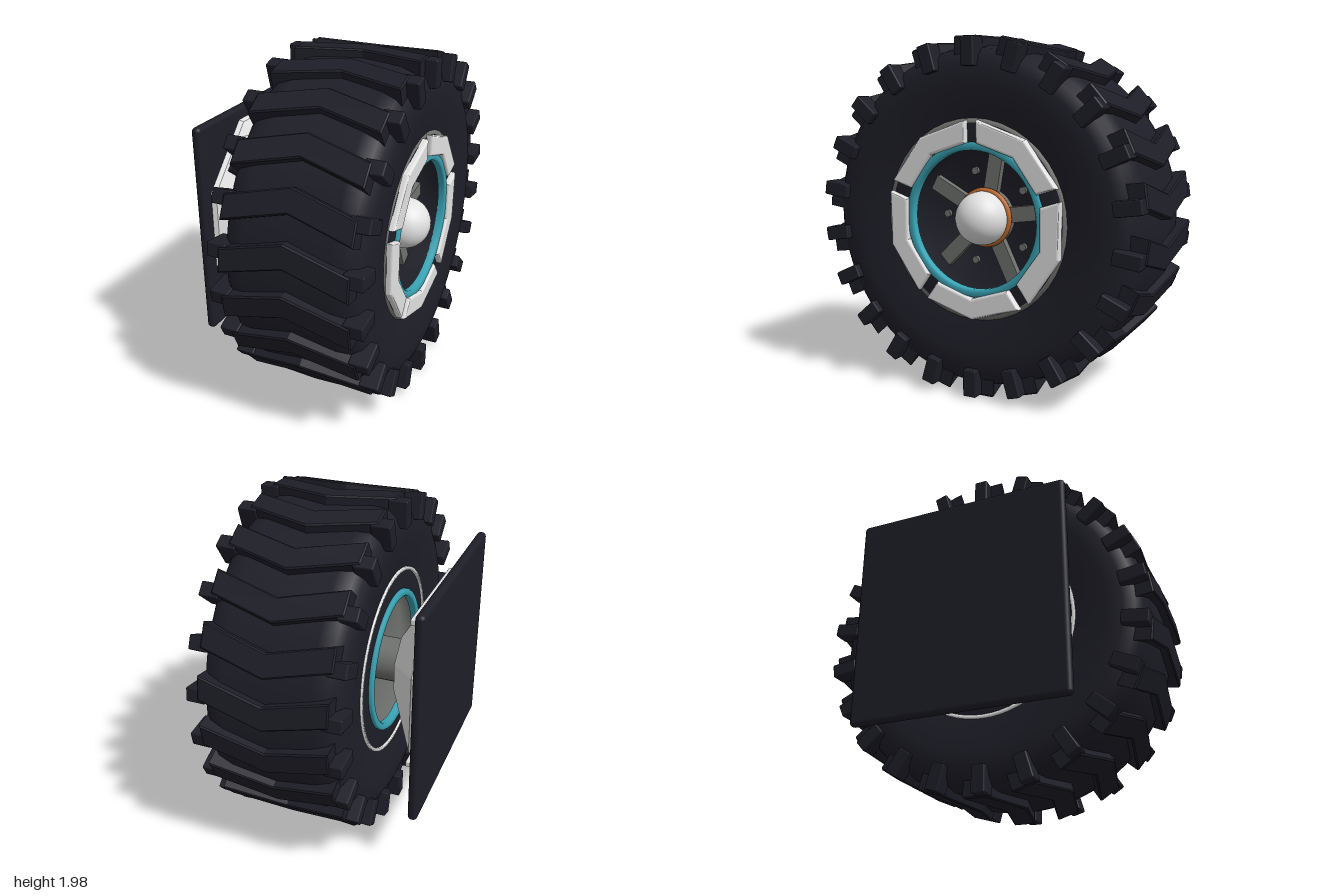
import * as THREE from 'three';
import { RoundedBoxGeometry } from 'three/addons/geometries/RoundedBoxGeometry.js';

const mat = (name, color) => {
  const m = new THREE.MeshStandardMaterial({ color });
  m.name = name;
  return m;
};

export function createModel() {
  const rubber = mat('dark rubber', 0x1e1e28);
  const white = mat('white panel', 0xe2e2e2);
  const grey = mat('grey metal', 0x70726f);
  const teal = mat('teal trim', 0x39a3b4);
  const orange = mat('orange trim', 0xbc672d);

  const add = (parent, name, geo, material, x = 0, y = 0, z = 0) => {
    const m = new THREE.Mesh(geo, material);
    m.name = name;
    m.position.set(x, y, z);
    parent.add(m);
    return m;
  };
  // Lathe about local z; points are [radius, z]
  const lathe = (pts, seg = 64) =>
    new THREE.LatheGeometry(pts.map(p => new THREE.Vector2(p[0], p[1])), seg).rotateX(Math.PI / 2);
  const polar = (r, deg) => {
    const a = THREE.MathUtils.degToRad(deg);
    return new THREE.Vector2(r * Math.cos(a), r * Math.sin(a));
  };

  const model = new THREE.Group();
  model.name = 'wheelAssembly';
  const CY = 0.995;

  // Wheel: local z is the axle, pointing out to the hub side
  const wheel = new THREE.Group();
  wheel.name = 'wheel';
  wheel.position.set(0.145, CY, 0);
  wheel.rotation.y = Math.PI / 2;
  model.add(wheel);

  // Tyre casing
  const half = [[0.42, 0.34], [0.52, 0.36], [0.62, 0.38], [0.74, 0.398], [0.83, 0.396],
    [0.89, 0.372], [0.925, 0.335], [0.945, 0.25]];
  const casing = [...half.map(([r, z]) => [r, -z]), ...half.slice().reverse()];
  add(wheel, 'tyre', lathe(casing, 88), rubber);

  // Chevron tread bars and shoulder lugs
  const LUGS = 22, W = 0.365, T = 0.068, V = 0.048;
  const chevron = new THREE.Shape([
    [-V - T, -W], [-V + T, -W], [V + T, 0], [-V + T, W], [-V - T, W], [V - T, 0],
  ].map(p => new THREE.Vector2(...p)));
  const barGeo = new THREE.ExtrudeGeometry(chevron, {
    depth: 0.12, bevelEnabled: true, bevelSize: 0.008, bevelThickness: 0.008, bevelOffset: -0.008, bevelSegments: 1,
  }).rotateX(-Math.PI / 2).translate(0, 0.862, 0);
  const lugGeo = new RoundedBoxGeometry(0.08, 0.155, 0.11, 1, 0.008);
  for (let i = 0; i < LUGS; i++) {
    const block = new THREE.Group();
    block.name = 'treadBlock';
    block.rotation.z = (i / LUGS) * Math.PI * 2;
    add(block, 'treadBar', barGeo, rubber);
    for (const s of [-1, 1]) add(block, 'shoulderLug', lugGeo, rubber, 0, 0.905, s * 0.38);
    wheel.add(block);
  }

  // Bent rim segment covering about 65 degrees
  const rimSegment = (mid) => {
    const s = new THREE.Shape([
      polar(0.545, mid - 32.5), polar(0.55, mid), polar(0.545, mid + 32.5),
      polar(0.422, mid + 31.5), polar(0.432, mid), polar(0.422, mid - 31.5),
    ]);
    return new THREE.ExtrudeGeometry(s, {
      depth: 0.06, bevelEnabled: true, bevelSize: 0.014, bevelThickness: 0.014, bevelOffset: -0.014, bevelSegments: 3,
    });
  };
  const tealRing = () => lathe([[0.383, 0.345], [0.426, 0.345], [0.426, 0.38], [0.418, 0.389],
    [0.391, 0.389], [0.383, 0.38], [0.383, 0.345]], 48);

  // Outer rim: segments, ring, recess, spokes and bolts
  const outer = new THREE.Group();
  outer.name = 'outerRim';
  wheel.add(outer);
  add(outer, 'rimPlate', lathe([[0.555, 0.3], [0.555, 0.369], [0.52, 0.369]], 40), grey);
  add(outer, 'rimBand', lathe([[0.53, 0.34], [0.53, 0.372], [0.392, 0.372]]), rubber);
  add(outer, 'rimBarrel', lathe([[0.392, 0.372], [0.39, 0.19], [0.001, 0.19]]), rubber);
  add(outer, 'tealRing', tealRing(), teal);
  for (let i = 0; i < 5; i++) {
    add(outer, 'rimSegment', rimSegment(54 + i * 72), white, 0, 0, 0.332);
    const spoke = new THREE.Group();
    spoke.name = 'spokeArm';
    spoke.rotation.z = THREE.MathUtils.degToRad(8 + i * 72);
    add(spoke, 'spoke', new THREE.BoxGeometry(0.27, 0.085, 0.05), grey, 0.25, 0, 0.205);
    outer.add(spoke);
    const b = polar(0.268, 36 + i * 72);
    add(outer, 'bolt', new THREE.CylinderGeometry(0.022, 0.022, 0.03, 8).rotateX(Math.PI / 2), grey, b.x, b.y, 0.195);
  }

  // Inner rim: light lip, dark band, teal ring and a plain grey disc
  const inner = new THREE.Group();
  inner.name = 'innerRim';
  inner.rotation.y = Math.PI;
  wheel.add(inner);
  add(inner, 'rimLip', lathe([[0.555, 0.34], [0.555, 0.378], [0.535, 0.378], [0.535, 0.34]]), white);
  add(inner, 'rimBand', lathe([[0.54, 0.34], [0.54, 0.366], [0.392, 0.366]]), rubber);
  add(inner, 'rimBarrel', lathe([[0.392, 0.366], [0.39, 0.27], [0.001, 0.27]]), grey);
  add(inner, 'tealRing', tealRing(), teal);

  // Hub cap with orange collar
  add(wheel, 'hubBase', new THREE.CylinderGeometry(0.155, 0.16, 0.07, 40).rotateX(Math.PI / 2), grey, 0, 0, 0.21);
  add(wheel, 'hubRing', new THREE.TorusGeometry(0.15, 0.018, 10, 48), orange, 0, 0, 0.245);
  add(wheel, 'hubCap', new THREE.SphereGeometry(0.15, 40, 24), white, 0, 0, 0.275);

  // Axle and mounting bracket on the right
  const axle = new THREE.CylinderGeometry(0.13, 0.13, 0.32, 32).rotateZ(Math.PI / 2);
  add(model, 'axle', axle, grey, -0.19, CY, 0);
  const mount = new THREE.Group();
  mount.name = 'mount';
  mount.position.set(0, CY, 0);
  model.add(mount);
  add(mount, 'backPlate', new RoundedBoxGeometry(0.055, 1.26, 1.26, 3, 0.025), rubber, -0.555, 0, 0);

  // Octagonal funnel with flats facing up, down, front and back
  const octagon = (rSmall, rLarge, h) => {
    const k = 1 / Math.cos(Math.PI / 8);
    const g = new THREE.CylinderGeometry(rSmall * k, rLarge * k, h, 8, 1, false, Math.PI / 8)
      .toNonIndexed().rotateZ(-Math.PI / 2);
    g.computeVertexNormals();
    return g;
  };
  add(mount, 'funnelRim', octagon(0.55, 0.56, 0.03), white, -0.515, 0, 0);
  add(mount, 'funnel', octagon(0.2, 0.55, 0.21), white, -0.395, 0, 0);
  for (const s of [-1, 1])
    add(mount, 'funnelPad', new RoundedBoxGeometry(0.085, 0.04, 0.74, 2, 0.01), white, -0.47, s * 0.455, 0);

  // Diagonal damper between bracket and axle
  const from = new THREE.Vector3(-0.475, 0.36, 0.41), to = new THREE.Vector3(-0.26, 0.09, 0.16);
  const damper = new THREE.Group();
  damper.name = 'damper';
  damper.position.copy(from);
  damper.quaternion.setFromUnitVectors(new THREE.Vector3(0, 1, 0), to.clone().sub(from).normalize());
  mount.add(damper);
  const tube = (name, r, a, b, m) => add(damper, name, new THREE.CylinderGeometry(r, r, b - a, 24), m, 0, (a + b) / 2, 0);
  tube('damperBody', 0.045, 0, 0.25, rubber);
  tube('damperCollar', 0.05, 0.24, 0.3, orange);
  tube('damperRod', 0.024, 0.29, from.distanceTo(to), white);

  return model;
}
